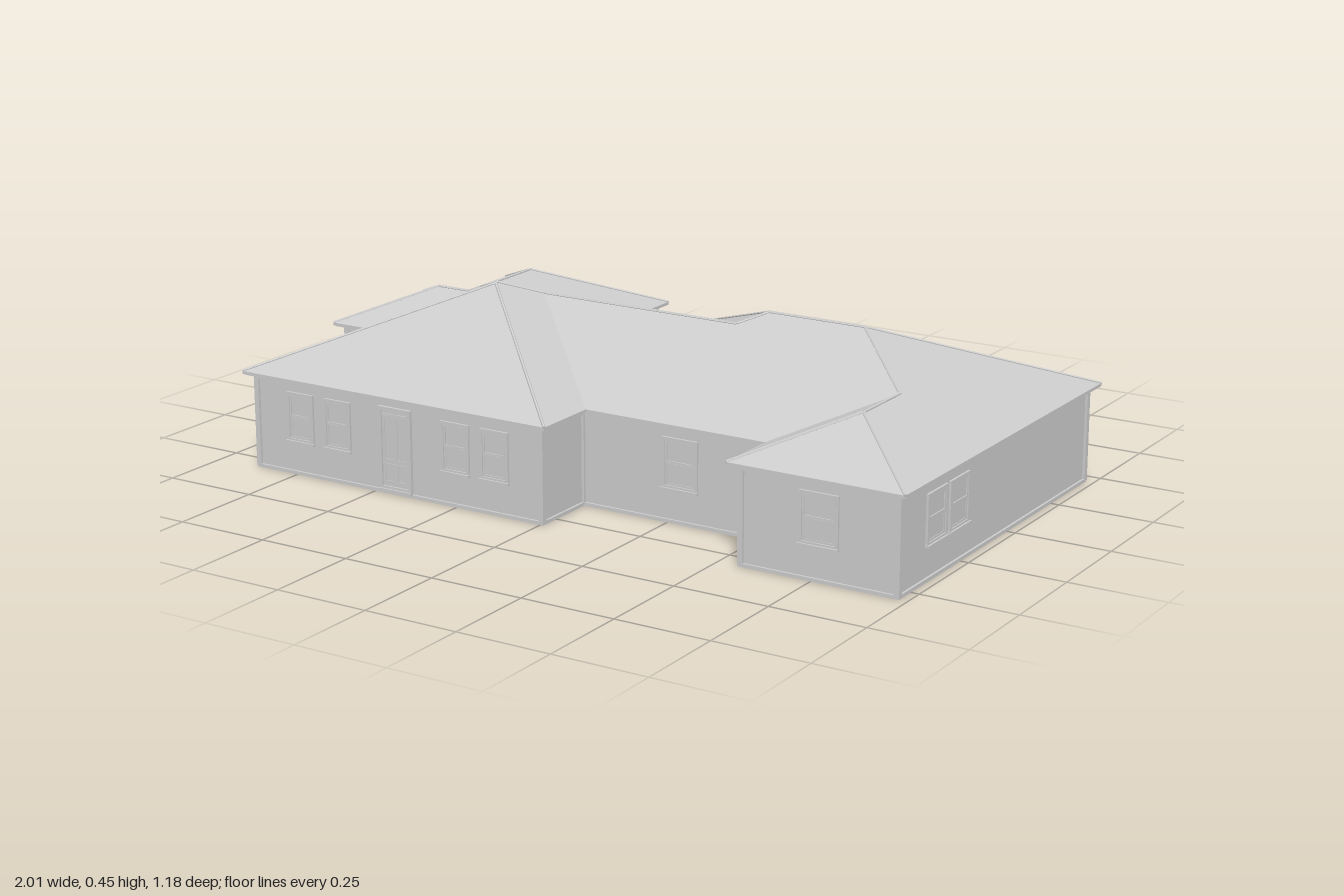
import * as THREE from 'three';

const EAVE = 0.257, PITCH = 5 / 12, WALL_INSET = 0.027;

// Eaves outline (x, z), counter-clockwise seen from above
const OUTLINE = [
  [-0.9, 0.58], [0.03, 0.58], [0.03, 0.4], [0.535, 0.4], [0.535, 0.58], [1, 0.58],
  [1, -0.48], [-0.15, -0.48], [-0.15, -0.36], [-0.35, -0.36], [-0.35, -0.59], [-0.9, -0.59],
  [-0.9, -0.33], [-1, -0.33], [-1, 0.08], [-0.9, 0.08],
];

const material = new THREE.MeshStandardMaterial({ color: 0xcccccc, flatShading: true });

function mesh(name, geometry, parent) {
  const m = new THREE.Mesh(geometry, material);
  m.name = name;
  parent.add(m);
  return m;
}

function box(name, w, h, d, x, y, z, parent) {
  const m = mesh(name, new THREE.BoxGeometry(w, h, d), parent);
  m.position.set(x, y, z);
  return m;
}

// Move every outline corner inward by the given amount
function insetOutline(amount) {
  const n = OUTLINE.length;
  const inward = (a, b) => [Math.sign(b[1] - a[1]), -Math.sign(b[0] - a[0])];
  return OUTLINE.map((p, i) => {
    const u = inward(OUTLINE[(i + n - 1) % n], p);
    const v = inward(p, OUTLINE[(i + 1) % n]);
    return [p[0] + (u[0] + v[0]) * amount, p[1] + (u[1] + v[1]) * amount];
  });
}

// Slab that follows the house outline between two heights
function slab(name, inset, y0, y1, parent) {
  const shape = new THREE.Shape(insetOutline(inset).map(([x, z]) => new THREE.Vector2(x, -z)));
  const geo = new THREE.ExtrudeGeometry(shape, { depth: y1 - y0, bevelEnabled: false });
  geo.rotateX(-Math.PI / 2).translate(0, y0, 0);
  return mesh(name, geo, parent);
}

// Hip roof over a rectangle, ridge along the longer side
function hipRoof(name, x0, x1, z0, z1, parent) {
  const wide = x1 - x0 >= z1 - z0;
  const run = Math.min(x1 - x0, z1 - z0) / 2, top = EAVE + run * PITCH;
  const xc = (x0 + x1) / 2, zc = (z0 + z1) / 2;
  let [a, b, c, d] = [[x0, EAVE, z1], [x1, EAVE, z1], [x1, EAVE, z0], [x0, EAVE, z0]];
  let p = [x0 + run, top, zc], q = [x1 - run, top, zc];
  if (!wide) {
    [a, b, c, d] = [b, c, d, a];
    p = [xc, top, z1 - run];
    q = [xc, top, z0 + run];
  }
  const tris = [a, b, q, a, q, p, b, c, q, c, d, p, c, p, q, d, a, p];
  const geo = new THREE.BufferGeometry();
  geo.setAttribute('position', new THREE.Float32BufferAttribute(tris.flat(), 3));
  geo.computeVertexNormals();
  return mesh(name, geo, parent);
}

// Thin cap along a hip or ridge; points are (x, z, run from the eave)
function ridgeCap(from, to, parent) {
  const [s, e] = [from, to].map(([x, z, r]) => new THREE.Vector3(x, EAVE + r * PITCH, z));
  const dir = e.clone().sub(s);
  const m = mesh('ridgeCap', new THREE.CylinderGeometry(0.004, 0.004, dir.length(), 6), parent);
  m.position.copy(s).add(e).multiplyScalar(0.5);
  m.quaternion.setFromUnitVectors(new THREE.Vector3(0, 1, 0), dir.normalize());
}

function frame(name, w, h, border, depth, parent) {
  const rect = (T, a, b) => new T([[-a, -b], [a, -b], [a, b], [-a, b]]
    .map(([x, y]) => new THREE.Vector2(x, y)));
  const shape = rect(THREE.Shape, w / 2, h / 2);
  shape.holes.push(rect(THREE.Path, w / 2 - border, h / 2 - border));
  return mesh(name, new THREE.ExtrudeGeometry(shape, { depth, bevelEnabled: false }), parent);
}

// Hung window with one or more sash columns
function windowUnit(w, h, cols = 1) {
  const g = new THREE.Group();
  g.name = 'window';
  frame('windowTrim', w, h, 0.008, 0.006, g);
  box('glass', w - 0.01, h - 0.01, 0.002, 0, 0, 0.001, g);
  const cw = (w - 0.016) / cols;
  for (let i = 0; i < cols; i++) {
    const x = -w / 2 + 0.008 + cw * (i + 0.5);
    for (const s of [-1, 1]) {
      const sash = frame('sash', cw - 0.002, h / 2 - 0.009, 0.005, s > 0 ? 0.005 : 0.0035, g);
      sash.position.set(x, s * (h / 4 - 0.004), 0);
    }
  }
  box('sill', w + 0.004, 0.006, 0.012, 0, -h / 2, 0.005, g);
  return g;
}

// Entry door: tall glazed panels over low solid panels
function doorUnit(w, h) {
  const g = new THREE.Group();
  g.name = 'door';
  frame('doorTrim', w, h, 0.01, 0.008, g);
  box('doorLeaf', w - 0.018, h - 0.018, 0.003, 0, 0, 0.0015, g);
  for (const s of [-1, 1]) {
    const pw = (w - 0.024) / 2;
    frame('upperPanel', pw, h * 0.55, 0.007, 0.005, g).position.set(s * pw / 2, h * 0.12, 0);
    frame('lowerPanel', pw, h * 0.24, 0.007, 0.005, g).position.set(s * pw / 2, -h * 0.3, 0);
  }
  box('transomBar', w - 0.02, 0.005, 0.006, 0, h * 0.41, 0.003, g);
  box('threshold', w, 0.008, 0.014, 0, -h / 2, 0.006, g);
  return g;
}

// Wide door split into panelled columns
function garageDoor(w, h) {
  const g = new THREE.Group();
  g.name = 'garageDoor';
  frame('garageTrim', w, h, 0.012, 0.008, g);
  box('garageLeaf', w - 0.02, h - 0.02, 0.003, 0, 0, 0.0015, g);
  const cw = (w - 0.024) / 4, rh = (h - 0.024) / 3;
  for (let i = 0; i < 4; i++) {
    for (let j = 0; j < 3; j++) {
      frame('garagePanel', cw - 0.002, rh - 0.002, 0.006, 0.005, g)
        .position.set((i - 1.5) * cw, (j - 1) * rh, 0);
    }
  }
  return g;
}

export function createModel() {
  const house = new THREE.Group();
  house.name = 'house';

  // Walls and the trims that run around them
  slab('baseTrim', WALL_INSET - 0.006, 0, 0.009, house);
  slab('walls', WALL_INSET, 0.004, 0.25, house);
  slab('frieze', WALL_INSET - 0.005, 0.234, 0.249, house);
  slab('soffit', 0.006, 0.246, 0.252, house);
  slab('fascia', 0, 0.249, EAVE, house);
  for (const [x, z] of insetOutline(WALL_INSET)) {
    box('cornerBoard', 0.014, 0.244, 0.014, x, 0.126, z, house);
  }

  // Intersecting hip roofs
  const roof = new THREE.Group();
  roof.name = 'roof';
  house.add(roof);
  hipRoof('rightRoof', -0.15, 1, -0.48, 0.4, roof);
  hipRoof('middleRoof', -0.73, 0.61, -0.36, 0.4, roof);
  hipRoof('leftRoof', -0.9, 0.03, -0.36, 0.58, roof);
  hipRoof('garageRoof', -0.9, -0.35, -0.59, 0.19, roof);
  hipRoof('sideBayRoof', -1, -0.49, -0.33, 0.08, roof);
  hipRoof('frontBayRoof', 0.535, 1, -0.065, 0.58, roof);

  // Caps along the exposed ridges and hips, one run per line
  const runs = [
    [[1, -0.48, 0], [0.56, -0.04, 0.44], [0.767, 0.167, 0.233], [0.767, 0.347, 0.233], [1, 0.58, 0]],
    [[0.535, 0.58, 0], [0.767, 0.347, 0.233]],
    [[-0.15, -0.48, 0], [0.29, -0.04, 0.44], [0.56, -0.04, 0.44]],
    [[0.29, -0.04, 0.44], [0.23, 0.02, 0.38], [-0.35, 0.02, 0.38], [-0.435, 0.105, 0.465]],
    [[0.03, 0.58, 0], [-0.435, 0.115, 0.465], [-0.9, 0.58, 0]],
    [[-0.435, 0.115, 0.465], [-0.435, 0.105, 0.465], [-0.625, -0.085, 0.275],
      [-0.625, -0.315, 0.275], [-0.9, -0.59, 0]],
    [[-0.35, -0.59, 0], [-0.625, -0.315, 0.275]],
    [[-1, -0.33, 0], [-0.795, -0.125, 0.205], [-0.695, -0.125, 0.205]],
    [[-1, 0.08, 0], [-0.795, -0.125, 0.205]],
  ];
  for (const run of runs) {
    for (let i = 1; i < run.length; i++) ridgeCap(run[i - 1], run[i], roof);
  }

  // Openings, placed on a wall facing the given angle
  const put = (unit, x, y, z, angle) => {
    unit.position.set(x, y, z);
    unit.rotation.y = angle;
    house.add(unit);
  };
  const FRONT = 0, RIGHT = Math.PI / 2, BACK = Math.PI, LEFT = -Math.PI / 2;

  // Front
  for (const x of [-0.735, -0.617, -0.252, -0.135]) put(windowUnit(0.084, 0.13), x, 0.152, 0.553, FRONT);
  put(doorUnit(0.1, 0.216), -0.435, 0.118, 0.553, FRONT);
  put(windowUnit(0.1, 0.13), 0.285, 0.152, 0.373, FRONT);
  put(windowUnit(0.104, 0.13), 0.768, 0.152, 0.553, FRONT);
  put(windowUnit(0.08, 0.1), -0.912, 0.168, 0.053, FRONT);

  // Right side
  for (const z of [0.373, 0.259]) put(windowUnit(0.1, 0.126), 0.973, 0.149, z, RIGHT);

  // Back
  for (const x of [0.795, 0.112]) put(windowUnit(0.16, 0.13), x, 0.152, -0.453, BACK);
  for (const x of [0.637, 0.27]) put(windowUnit(0.095, 0.13), x, 0.152, -0.453, BACK);
  put(doorUnit(0.1, 0.216), 0.453, 0.118, -0.453, BACK);
  for (const x of [-0.215, -0.3]) put(windowUnit(0.055, 0.055), x, 0.188, -0.333, BACK);
  put(garageDoor(0.29, 0.205), -0.628, 0.108, -0.563, BACK);
  put(windowUnit(0.076, 0.1), -0.92, 0.168, -0.303, BACK);

  // Left side
  put(windowUnit(0.31, 0.1, 3), -0.973, 0.168, -0.125, LEFT);

  return house;
}
